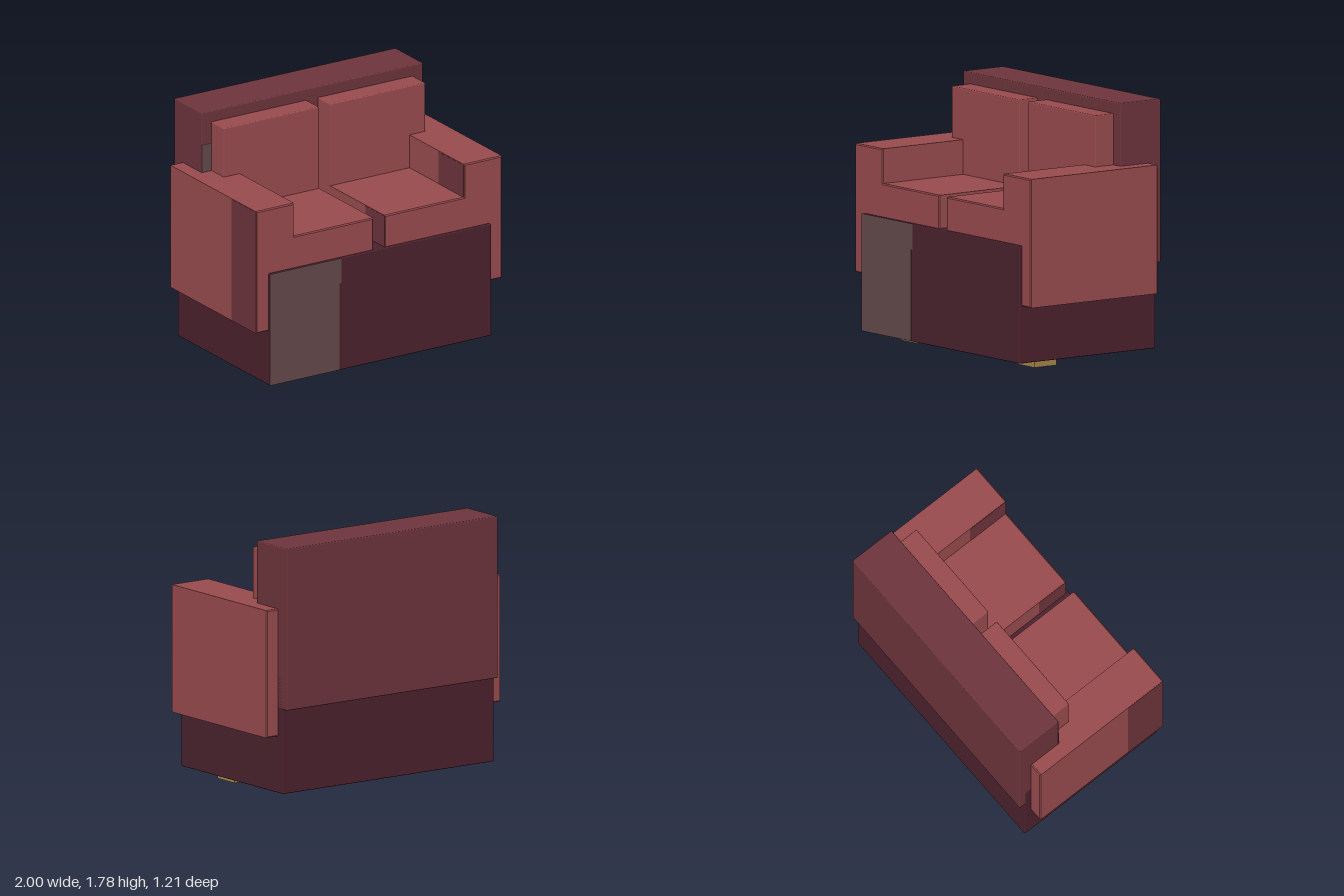
import * as THREE from 'three';
import { RoundedBoxGeometry } from 'three/addons/geometries/RoundedBoxGeometry.js';

function material(name, color) {
  const m = new THREE.MeshStandardMaterial({ color });
  m.name = name;
  return m;
}

export function createModel() {
  const sofa = new THREE.Group();
  sofa.name = 'sofa';
  const cushionRed = material('cushion red', 0x984a4e);
  const backRed = material('back red', 0x6c343b);
  const baseWine = material('base wine', 0x4a212d);
  const fadedGrey = material('faded grey', 0x63484b);
  const wood = material('leg wood', 0xa3834a);

  // Box given by its [min, max] range on each axis; bevel 0 keeps it sharp
  function block(name, mat, [x0, x1], [y0, y1], [z0, z1], bevel = 0.008) {
    const size = [x1 - x0, y1 - y0, z1 - z0];
    const geo = bevel ? new RoundedBoxGeometry(...size, 2, bevel) : new THREE.BoxGeometry(...size);
    const mesh = new THREE.Mesh(geo, mat);
    mesh.name = name;
    mesh.position.set((x0 + x1) / 2, (y0 + y1) / 2, (z0 + z1) / 2);
    sofa.add(mesh);
  }

  // Body
  block('base', baseWine, [-0.9, 0.9], [0.065, 0.88], [-0.56, 0.6]);
  block('backrest', backRed, [-0.9, 0.9], [0.655, 1.785], [-0.605, -0.26]);

  // Arm and seat share one L-shaped section, extruded front to back
  const b = 0.008;
  const section = [[0.045, 0.46], [1, 0.46], [1, 1.35], [0.69, 1.35], [0.69, 1.11], [0.045, 1.11]];
  for (const side of [-1, 1]) {
    const label = side > 0 ? 'left' : 'right';
    const points = section.map(([x, y]) => new THREE.Vector2(side * x, y));
    const geo = new THREE.ExtrudeGeometry(new THREE.Shape(points), {
      depth: 1.085 - 2 * b, bevelEnabled: true, bevelThickness: b, bevelSize: b, bevelOffset: -b, bevelSegments: 1,
    });
    const armSeat = new THREE.Mesh(geo, cushionRed);
    armSeat.name = label + 'ArmAndSeat';
    armSeat.position.z = -0.505 + b;
    sofa.add(armSeat);

    const range = (a, c) => (side > 0 ? [a, c] : [-c, -a]);
    block(label + 'BackCushion', cushionRed, range(0.045, 0.82), [1.0, 1.705], [-0.3, -0.105]);
    block(label + 'Leg', wood, range(0.57, 0.76), [0, 0.07], [0.18, 0.37], 0);
  }

  // Thin colour patches
  const t = 0.002;
  block('baseFrontPatch', fadedGrey, [-0.9, -0.335], [0.068, 0.88], [0.597, 0.6 + t], 0);
  block('baseFrontPatchUpper', fadedGrey, [-0.335, -0.322], [0.7, 0.88], [0.597, 0.6 + t], 0);
  block('backrestPatch', fadedGrey, [-0.9, -0.815], [1.2, 1.55], [-0.262, -0.26 + t], 0);
  block('armOuterPatch', backRed, [-1 - t, -0.998], [0.463, 1.347], [0.27, 0.578], 0);
  block('armInnerPatch', backRed, [0.69 - t, 0.692], [1.11, 1.345], [0.26, 0.578], 0);
  block('seatInnerPatch', backRed, [0.045 - t, 0.047], [0.88, 1.107], [0.34, 0.578], 0);

  return sofa;
}
